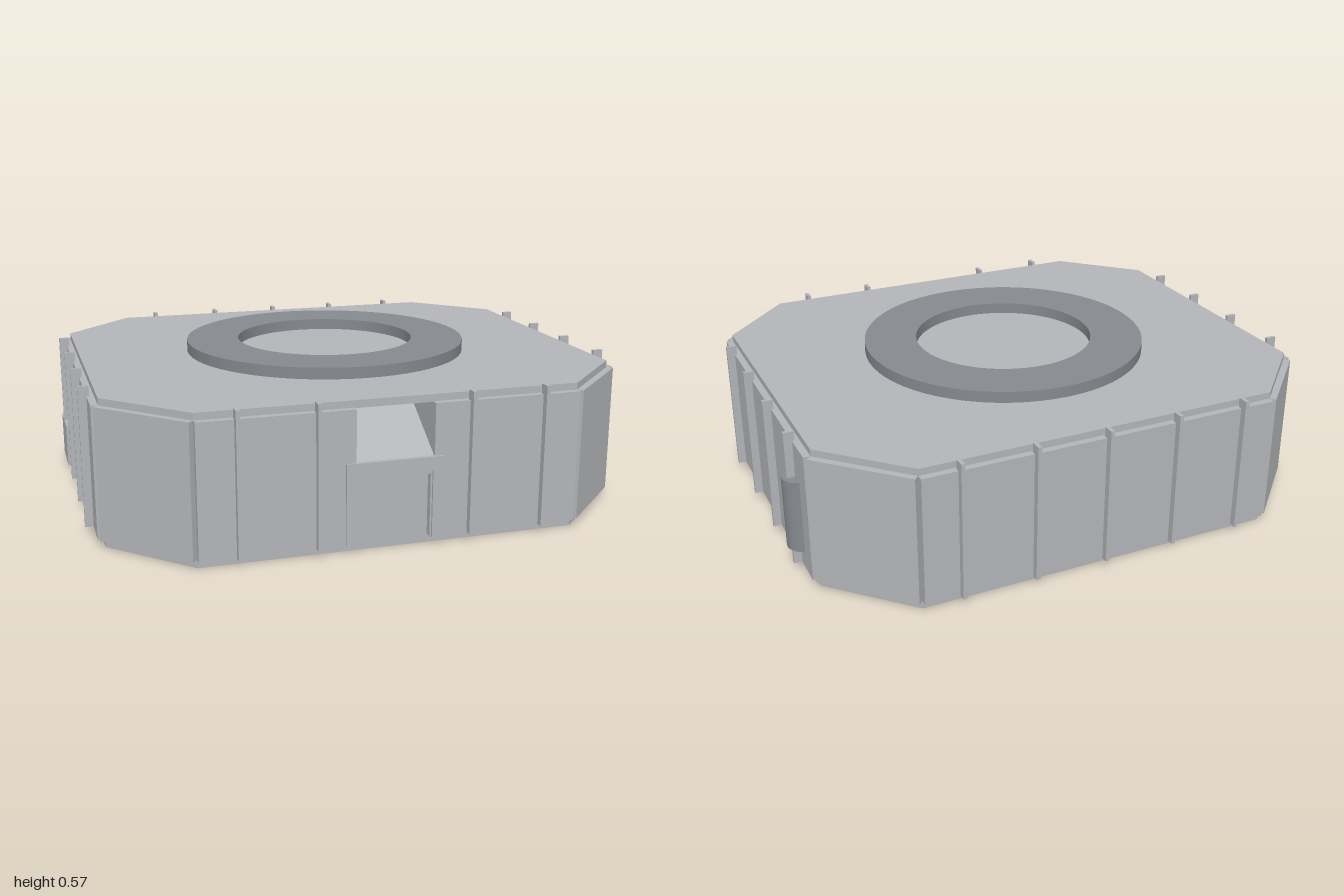
import * as THREE from 'three';

const HX = 0.938, HZ = 0.807;   // half width and depth of the hull
const CX = 0.671, CZ = 0.537;   // where the corner chamfers begin
const Y0 = 0.03, Y1 = 0.5;      // wall panel bottom and top
const WIN = { x: 0.138, y0: 0.315, y1: 0.498, z: 0.62 }; // window recess

export function createModel() {
  const hull = new THREE.MeshStandardMaterial({ color: 0xb3b5b8 });
  hull.name = 'light grey';
  const dark = new THREE.MeshStandardMaterial({ color: 0x868a8f });
  dark.name = 'dark grey';

  const model = new THREE.Group();
  model.name = 'bunker';
  const body = new THREE.Group();
  body.name = 'body';
  body.position.set(-0.008, 0, -0.002);
  model.add(body);

  const add = (name, geometry, material = hull) => {
    const mesh = new THREE.Mesh(geometry, material);
    mesh.name = name;
    body.add(mesh);
    return mesh;
  };
  const box = (name, x0, x1, y0, y1, z0, z1, material) => {
    const mesh = add(name, new THREE.BoxGeometry(x1 - x0, y1 - y0, z1 - z0), material);
    mesh.position.set((x0 + x1) / 2, (y0 + y1) / 2, (z0 + z1) / 2);
    return mesh;
  };
  const extrude = (points, depth) => new THREE.ExtrudeGeometry(
    new THREE.Shape(points.map(([x, y]) => new THREE.Vector2(x, y))),
    { depth, bevelEnabled: false });

  // Eight-sided hull in layers, the middle one notched for the window recess
  const layer = (name, y0, y1, notch) => {
    const cut = notch
      ? [[WIN.x, HZ], [WIN.x, WIN.z], [-WIN.x, WIN.z], [-WIN.x, HZ]] : [];
    const outline = [[-CX, -HZ], [CX, -HZ], [HX, -CZ], [HX, CZ], [CX, HZ],
      ...cut, [-CX, HZ], [-HX, CZ], [-HX, -CZ]];
    add(name, extrude(outline, y1 - y0).rotateX(Math.PI / 2).translate(0, y1, 0));
  };
  layer('lowerHull', 0, WIN.y0, false);
  layer('windowLevelHull', WIN.y0, WIN.y1, true);
  layer('roofSlab', WIN.y1, 0.525, false);

  // Sloping sill and dark back wall inside the window recess
  const sill = extrude([[-0.826, WIN.y0], [-WIN.z, WIN.y0], [-WIN.z, 0.45]], 2 * WIN.x);
  add('windowSill', sill.rotateY(Math.PI / 2).translate(-WIN.x, 0, 0));
  box('windowBack', -WIN.x, WIN.x, 0.45, WIN.y1, WIN.z, WIN.z + 0.005, dark);

  // Wall panels: front one is cut for the door and the window
  add('frontPanel', extrude([[-CX, Y0], [-0.125, Y0], [-0.125, 0.255], [0.125, 0.255],
    [0.125, Y0], [CX, Y0], [CX, Y1], [WIN.x, Y1], [WIN.x, WIN.y0],
    [-WIN.x, WIN.y0], [-WIN.x, Y1], [-CX, Y1]], 0.025).translate(0, 0, HZ));
  box('backPanel', -CX, CX, Y0, Y1, -HZ - 0.025, -HZ);
  for (const s of [-1, 1]) {
    const x = s * (HX + 0.0125);
    box('sidePanel', x - 0.0125, x + 0.0125, Y0, Y1, -CZ, CZ);
  }

  // Chamfered corner panels
  const length = Math.hypot(HX - CX, HZ - CZ);
  for (const sx of [-1, 1]) for (const sz of [-1, 1]) {
    const panel = add('cornerPanel', new THREE.BoxGeometry(length, Y1 - Y0, 0.025));
    const out = 0.0125 * Math.SQRT1_2;
    panel.position.set(sx * ((HX + CX) / 2 + out), (Y0 + Y1) / 2, sz * ((HZ + CZ) / 2 + out));
    panel.rotation.y = sx * sz * Math.PI / 4;
  }

  // Vertical ribs rising just above the roof
  const w = 0.007, top = 0.535;
  for (const x of [-0.538, -0.269, 0, 0.269, 0.538]) {
    box('backRib', x - w, x + w, Y0, top, -0.857, -0.817);
    if (x !== 0) box('frontRib', x - w, x + w, Y0, top, 0.817, 0.857);
  }
  for (const z of [-0.403, -0.135, 0.135, 0.403]) {
    box('rightRib', -0.992, -0.954, Y0, top, z - w, z + w);
    box('leftRib', 0.954, 0.992, Y0, top, z - w, z + w);
  }

  // Door frame
  add('doorFrame', extrude([[-0.174, Y0], [-0.131, Y0], [-0.131, 0.267], [0.131, 0.267],
    [0.131, Y0], [0.174, Y0], [0.174, 0.317], [-0.174, 0.317]], 0.03).translate(0, 0, 0.81));

  // Flat ring on the roof
  const ring = [[0.338, 0.52], [0.536, 0.52], [0.536, 0.567], [0.338, 0.567], [0.338, 0.52]];
  const ringParts = new THREE.Group();
  ringParts.name = 'roofRing';
  body.add(ringParts);
  for (let i = 0; i < 4; i++) {
    const pair = [ring[i], ring[i + 1]].map(([r, y]) => new THREE.Vector2(r, y));
    const face = new THREE.Mesh(new THREE.LatheGeometry(pair, 64), dark);
    face.name = 'roofRingFace';
    ringParts.add(face);
  }

  // Tank on one side, low service box on the other
  add('sideTank', new THREE.CylinderGeometry(0.062, 0.062, 0.27, 32), dark)
    .position.set(0.946, 0.232, -0.4);
  box('serviceBox', -0.992, -0.955, Y0, 0.195, -0.502, -0.304);

  return model;
}
